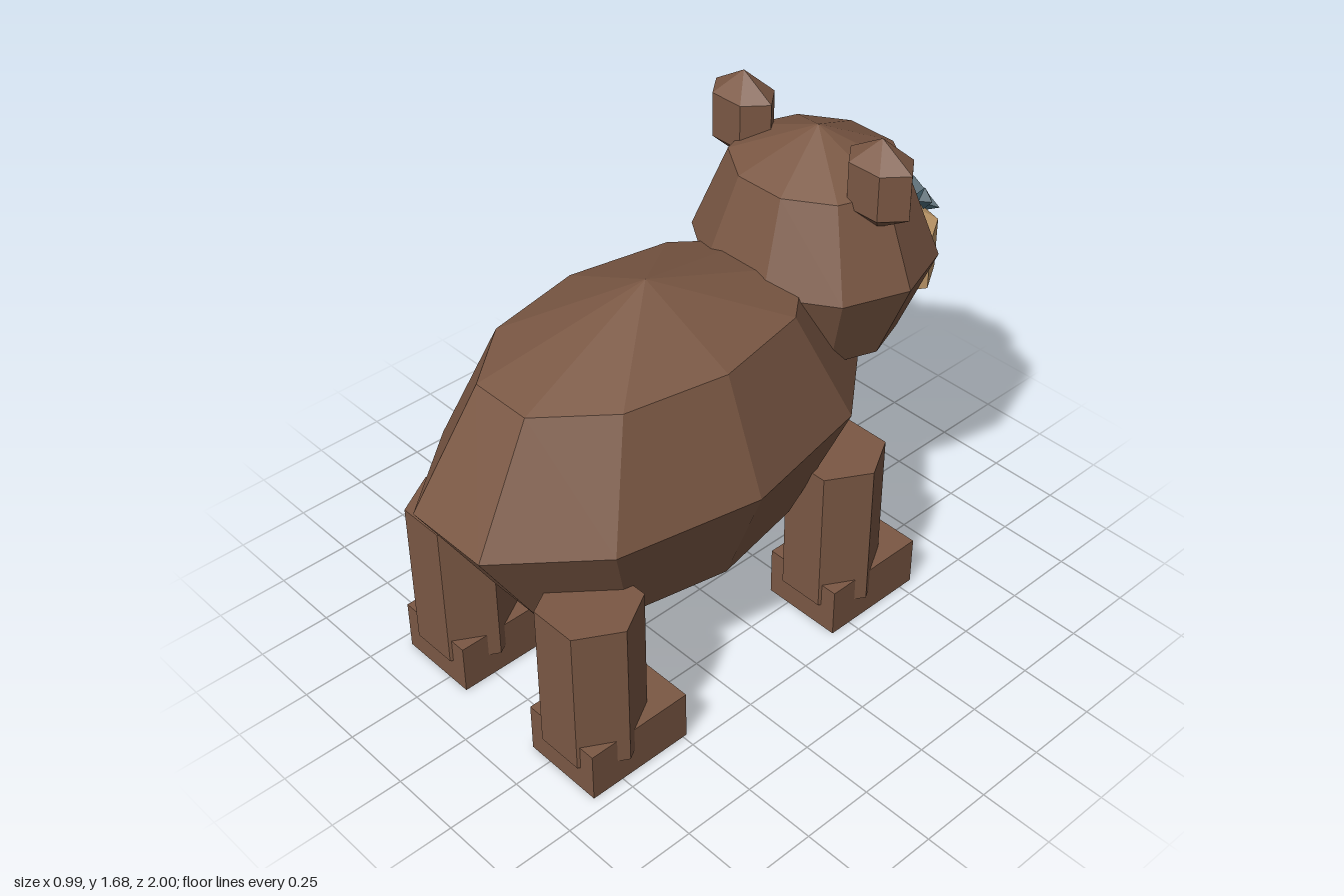
import * as THREE from 'three';

const material = (name, color) => {
  const m = new THREE.MeshStandardMaterial({ color });
  m.name = name;
  return m;
};

export function createModel() {
  const group = new THREE.Group();
  const brown = material('brown fur', 0x7b5844);
  const tan = material('tan muzzle', 0xc19a6b);
  const dark = material('dark slate', 0x3b5560);

  // Faceted mesh: unshared corners give every face its own flat normal
  const add = (name, geometry, mat, x, y, z) => {
    const faceted = geometry.toNonIndexed();
    faceted.computeVertexNormals();
    const mesh = new THREE.Mesh(faceted, mat);
    mesh.name = name;
    mesh.position.set(x, y, z);
    group.add(mesh);
    return mesh;
  };

  // Low-poly ellipsoid with given side and ring counts
  const blob = (sides, rings, rx, ry, rz) =>
    new THREE.SphereGeometry(1, sides, rings).scale(rx, ry, rz);

  // Torso and head
  add('body', blob(10, 4, 0.495, 0.535, 0.823), brown, 0, 0.826, 0.217);
  add('head', blob(10, 4, 0.41, 0.41, 0.37), brown, 0, 1.19, -0.494);

  // Muzzle and nose
  add('muzzle', blob(8, 3, 0.28, 0.181, 0.186), tan, 0, 1.076, -0.78);
  add('nose', blob(4, 2, 0.117, 0.07, 0.036), dark, 0, 1.155, -0.964);

  for (const side of [-1, 1]) {
    const label = side > 0 ? 'left' : 'right';

    // Ears and eyes
    add(label + 'Ear', blob(6, 3, 0.142, 0.153, 0.1), brown, side * 0.29, 1.532, -0.46);
    add(label + 'Eye', blob(4, 2, 0.034, 0.04, 0.026), dark, side * 0.205, 1.31, -0.774);

    // Six-sided legs on box feet that reach forward
    for (const [end, z] of [['Front', -0.305], ['Rear', 0.733]]) {
      const leg = new THREE.CylinderGeometry(0.164, 0.164, 0.53, 6, 1, false, Math.PI / 6);
      add(label + end + 'Leg', leg, brown, side * 0.311, 0.355, z);
      add(label + end + 'Foot', new THREE.BoxGeometry(0.288, 0.176, 0.38), brown,
        side * 0.311, 0.088, z - 0.057);
    }
  }

  return group;
}
